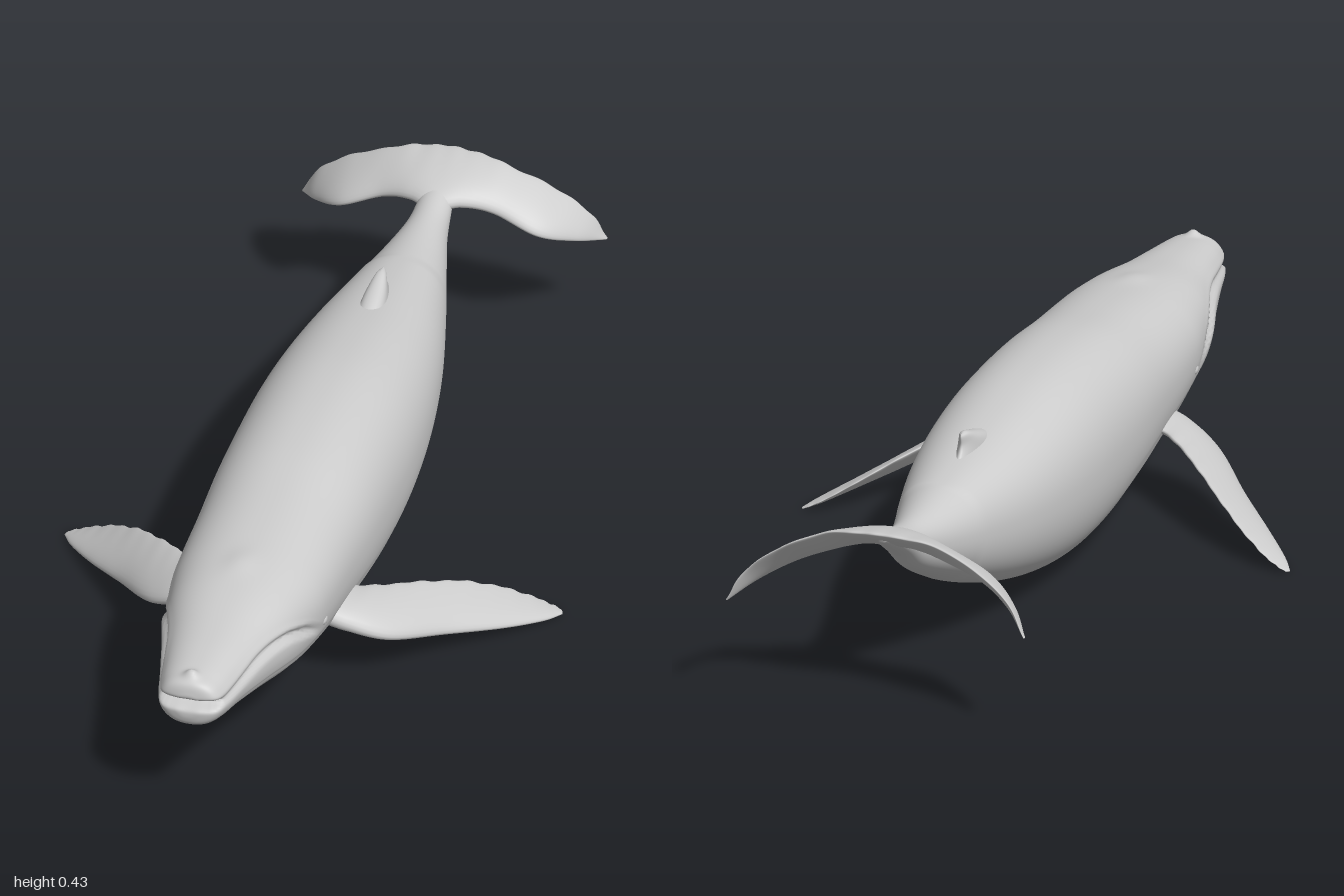
import * as THREE from 'three';

const V = (x, y, z) => new THREE.Vector3(x, y, z);
const spline = (pts) => new THREE.CatmullRomCurve3(pts, false, 'catmullrom', 0.5);
const bell = (d) => Math.exp(-d * d);

// Skin a list of closed rings, cap both ends and face the surface outward
function loft(rings) {
  const n = rings[0].length, pos = [], idx = [];
  rings.forEach((r) => r.forEach((p) => pos.push(p.x, p.y, p.z)));
  for (let i = 0; i < rings.length - 1; i++) {
    for (let j = 0; j < n; j++) {
      const a = i * n + j, b = i * n + (j + 1) % n;
      idx.push(a, a + n, b, b, a + n, b + n);
    }
  }
  [0, rings.length - 1].forEach((i) => {
    const c = pos.length / 3, mid = V(0, 0, 0);
    rings[i].forEach((p) => mid.addScaledVector(p, 1 / n));
    pos.push(mid.x, mid.y, mid.z);
    for (let j = 0; j < n; j++) {
      const a = i * n + j, b = i * n + (j + 1) % n;
      if (i === 0) idx.push(c, a, b); else idx.push(c, b, a);
    }
  });
  // A negative enclosed volume means the winding is inside out
  let vol = 0;
  const at = (k) => V(pos[3 * k], pos[3 * k + 1], pos[3 * k + 2]);
  for (let k = 0; k < idx.length; k += 3) vol += at(idx[k]).dot(at(idx[k + 1]).cross(at(idx[k + 2])));
  if (vol < 0) idx.reverse();
  const g = new THREE.BufferGeometry();
  g.setAttribute('position', new THREE.Float32BufferAttribute(pos, 3));
  g.setIndex(idx);
  g.computeVertexNormals();
  return g;
}

// Fin from [leading edge, trailing edge, half thickness] sections along its span
function fin(sections, steps, ripple = 0) {
  const lead = spline(sections.map((s) => s[0])), trail = spline(sections.map((s) => s[1]));
  const thick = spline(sections.map((s) => V(s[2], 0, 0)));
  const mid = (t) => lead.getPoint(t).add(trail.getPoint(t)).multiplyScalar(0.5);
  const rings = [];
  for (let i = 0; i <= steps; i++) {
    const t = i / steps, a = lead.getPoint(t), b = trail.getPoint(t);
    const span = mid(Math.min(1, t + 0.02)).sub(mid(Math.max(0, t - 0.02)));
    const chord = b.clone().sub(a);
    const normal = chord.clone().cross(span).normalize();
    b.addScaledVector(chord.normalize(), ripple * (Math.sin(t * 75) + 0.6 * Math.sin(t * 41)));
    const ring = [];
    for (let j = 0; j < 28; j++) {
      const th = (j / 28) * Math.PI * 2, u = (1 - Math.cos(th)) / 2;
      const h = Math.max(thick.getPoint(t).x, 0.001) * Math.sin(th) * (1.25 - 0.75 * u);
      ring.push(a.clone().lerp(b, u).addScaledVector(normal, h));
    }
    rings.push(ring);
  }
  return loft(rings);
}

// Body stations: z, half width, top, bottom
const BODY = [
  [1.0, 0.004, 0.287, 0.281], [1.0, 0.03, 0.31, 0.25], [0.988, 0.062, 0.333, 0.23],
  [0.95, 0.077, 0.34, 0.217], [0.88, 0.093, 0.347, 0.203], [0.78, 0.118, 0.357, 0.178],
  [0.65, 0.153, 0.376, 0.142], [0.5, 0.166, 0.39, 0.1], [0.35, 0.172, 0.404, 0.066],
  [0.2, 0.179, 0.421, 0.036], [0.05, 0.181, 0.429, 0.016], [-0.1, 0.179, 0.427, 0.018],
  [-0.25, 0.168, 0.413, 0.042], [-0.4, 0.145, 0.394, 0.083], [-0.55, 0.109, 0.376, 0.138],
  [-0.68, 0.073, 0.362, 0.198], [-0.78, 0.046, 0.36, 0.252], [-0.85, 0.036, 0.37, 0.305],
  [-0.91, 0.028, 0.386, 0.345], [-0.955, 0.01, 0.392, 0.375],
];
const LIP = spline([V(0.53, 0.2, 0), V(0.61, 0.25, 0), V(0.7, 0.288, 0), V(0.8, 0.298, 0), V(0.9, 0.29, 0), V(1.0, 0.284, 0)]);

function bodyGeometry() {
  const upper = spline(BODY.map((s) => V(s[0], s[1], s[2])));
  const lower = spline(BODY.map((s) => V(s[0], s[1], s[3])));
  const lip = LIP.getPoints(80);
  const rings = [], steps = 190, segs = 112;
  for (let i = 0; i <= steps; i++) {
    const up = upper.getPoint(i / steps), lo = lower.getPoint(i / steps), z = up.x;
    const lipY = lip.reduce((m, p) => (Math.abs(p.x - z) < Math.abs(m.x - z) ? p : m)).y;
    const cy = lo.z + (up.z - lo.z) * 0.53;
    const power = z < -0.6 ? 1 : 0.86;
    const ring = [];
    for (let j = 0; j < segs; j++) {
      const th = (j / segs) * Math.PI * 2, c = Math.cos(th), s = Math.sin(th);
      let x = Math.sign(c) * Math.pow(Math.abs(c), power) * up.y;
      let y = cy + Math.sign(s) * Math.pow(Math.abs(s), 0.92) * (s > 0 ? up.z - cy : cy - lo.z);
      let zz = z;
      // Mouth crease with a slightly narrower upper jaw
      const fade = THREE.MathUtils.smoothstep(z, 0.53, 0.66);
      const d = (y - lipY) / 0.009;
      x *= 1 - fade * (0.12 * bell(d) + 0.05 * THREE.MathUtils.smoothstep(d, 0, 3));
      zz -= 0.03 * bell(d) * THREE.MathUtils.smoothstep(z, 0.95, 1);
      // Shallow throat pleats
      const pleat = THREE.MathUtils.smoothstep(z, 0, 0.3) * (1 - THREE.MathUtils.smoothstep(z, 0.8, 0.95));
      if (s < -0.3) y += 0.0018 * pleat * Math.cos(th * 28);
      // Blowhole ridge and snout knob
      if (s > 0) y += 0.006 * bell((z - 0.6) / 0.04) * bell(x / 0.03) + 0.013 * bell((z - 0.968) / 0.012) * bell(x / 0.014);
      ring.push(V(x, y, zz));
    }
    rings.push(ring);
  }
  return loft(rings);
}

export function createModel() {
  const whale = new THREE.Group();
  whale.name = 'whale';
  const grey = new THREE.MeshStandardMaterial({ color: 0xcccccc });
  const add = (name, geometry) => {
    const mesh = new THREE.Mesh(geometry, grey);
    mesh.name = name;
    whale.add(mesh);
    return mesh;
  };

  add('body', bodyGeometry());

  // Small hooked fin on the back
  add('dorsalFin', fin([
    [V(0, 0.37, -0.27), V(0, 0.355, -0.52), 0.034],
    [V(0, 0.402, -0.35), V(0, 0.385, -0.482), 0.026],
    [V(0, 0.42, -0.405), V(0, 0.405, -0.467), 0.018],
    [V(0, 0.43, -0.435), V(0, 0.424, -0.468), 0.01],
    [V(0, 0.433, -0.448), V(0, 0.431, -0.466), 0.002],
  ], 24));

  // Tail flukes run tip to tip across the tail stock
  const half = [
    [V(0.325, 0.22, -0.992), V(0.325, 0.222, -1.0), 0.002],
    [V(0.275, 0.252, -0.922), V(0.285, 0.29, -0.988), 0.008],
    [V(0.21, 0.285, -0.87), V(0.21, 0.345, -0.974), 0.013],
    [V(0.12, 0.325, -0.868), V(0.12, 0.385, -0.967), 0.016],
    [V(0.055, 0.343, -0.848), V(0.055, 0.397, -0.976), 0.019],
  ];
  const mirrored = half.map(([a, b, t]) => [V(-a.x, a.y, a.z), V(-b.x, b.y, b.z), t]);
  const centre = [V(0, 0.338, -0.825), V(0, 0.4, -0.978), 0.022];
  add('tailFlukes', fin([...mirrored, centre, ...half.reverse()], 96, 0.0015));

  [[1, 'left'], [-1, 'right']].forEach(([s, side]) => {
    // Long pectoral flipper swept back and down
    add(side + 'Flipper', fin([
      [V(s * 0.11, 0.165, 0.44), V(s * 0.11, 0.18, 0.33), 0.026],
      [V(s * 0.18, 0.14, 0.432), V(s * 0.185, 0.166, 0.3), 0.024],
      [V(s * 0.26, 0.105, 0.392), V(s * 0.265, 0.142, 0.225), 0.019],
      [V(s * 0.35, 0.066, 0.285), V(s * 0.345, 0.108, 0.145), 0.015],
      [V(s * 0.44, 0.033, 0.185), V(s * 0.42, 0.066, 0.085), 0.011],
      [V(s * 0.505, 0.012, 0.105), V(s * 0.485, 0.028, 0.052), 0.007],
      [V(s * 0.533, 0.004, 0.058), V(s * 0.527, 0.007, 0.045), 0.002],
    ], 60, 0.0018));
    // Eye bulge behind the corner of the mouth
    const eye = add(side + 'Eye', new THREE.SphereGeometry(0.013, 20, 14));
    eye.scale.set(0.6, 0.8, 1.2);
    eye.position.set(s * 0.157, 0.225, 0.53);
  });

  return whale;
}
